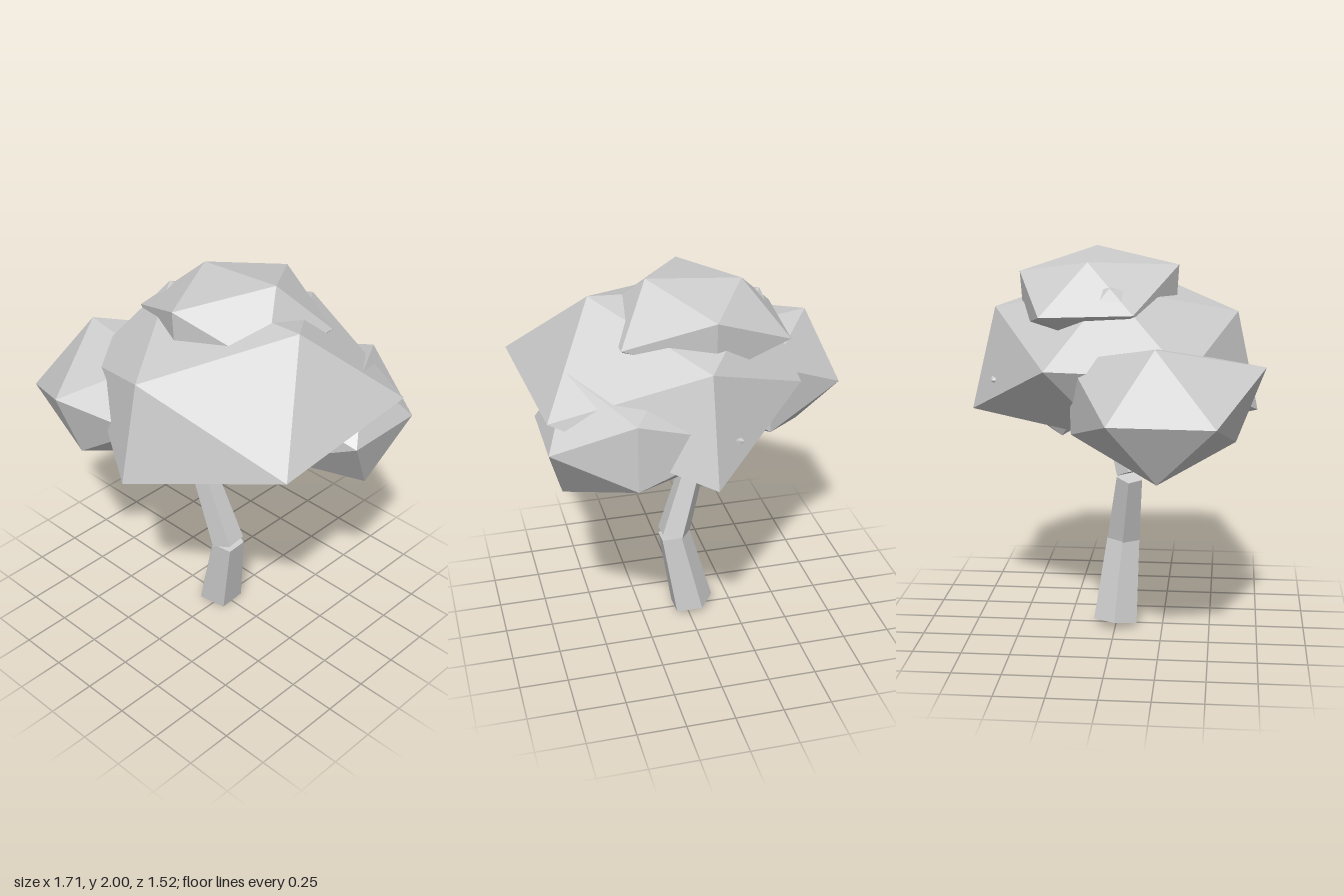
import * as THREE from 'three';

// Faces of a twenty-sided clump; corner order is given at each clump below
const CLUMP_FACES = [
  0, 11, 5, 0, 5, 1, 0, 1, 7, 0, 7, 10, 0, 10, 11,
  1, 5, 9, 5, 11, 4, 11, 10, 2, 10, 7, 6, 7, 1, 8,
  3, 9, 4, 3, 4, 2, 3, 2, 6, 3, 6, 8, 3, 8, 9,
  4, 9, 5, 2, 4, 11, 6, 2, 10, 8, 6, 7, 9, 8, 1,
];

// Corners: top left, top right, bottom left, bottom right,
// front low, front high, back low, back high,
// right back, right front, left back, left front (as drawn, left = -x)
const CLUMPS = {
  mainFoliage: [
    [-0.38, 1.85, 0], [0.49, 1.89, 0], [-0.36, 1.1, 0], [0.45, 1.08, 0],
    [0.03, 1.18, 0.73], [0.03, 1.69, 0.62], [0.03, 1.16, -0.76], [0.03, 1.7, -0.63],
    [0.78, 1.46, -0.46], [0.85, 1.46, 0.47], [-0.51, 1.46, -0.31], [-0.6, 1.46, 0.38],
  ],
  topFoliage: [
    [-0.25, 1.96, -0.12], [0.23, 2.0, -0.12], [-0.25, 1.52, -0.1], [0.22, 1.52, -0.1],
    [-0.03, 1.6, 0.3], [-0.03, 1.93, 0.32], [-0.03, 1.62, -0.47], [-0.03, 1.89, -0.49],
    [0.4, 1.74, -0.35], [0.42, 1.74, 0.15], [-0.44, 1.71, -0.34], [-0.47, 1.73, 0.12],
  ],
  frontSideFoliage: [
    [-0.71, 1.61, 0.24], [-0.25, 1.54, 0.25], [-0.69, 0.96, 0.25], [-0.19, 1.03, 0.25],
    [-0.4, 1.11, 0.62], [-0.4, 1.48, 0.76], [-0.4, 1.13, -0.19], [-0.4, 1.5, -0.2],
    [-0.1, 1.3, 0], [-0.1, 1.3, 0.5], [-0.84, 1.27, 0.02], [-0.86, 1.27, 0.53],
  ],
  backSideFoliage: [
    [0.15, 1.6, -0.3], [0.65, 1.63, -0.29], [0.12, 1.0, -0.3], [0.7, 1.0, -0.3],
    [0.4, 1.17, 0.05], [0.4, 1.5, 0.05], [0.4, 1.17, -0.69], [0.4, 1.51, -0.69],
    [0.79, 1.33, -0.53], [0.79, 1.33, -0.1], [-0.13, 1.34, -0.63], [0, 1.33, -0.1],
  ],
};

// Five-sided tapered log running between two points
function logBetween(from, to, r0, r1) {
  const a = new THREE.Vector3(...from), b = new THREE.Vector3(...to);
  const axis = b.clone().sub(a), length = axis.length();
  const geo = new THREE.CylinderGeometry(r1, r0, length, 5, 1, false, -Math.PI / 2);
  geo.applyQuaternion(new THREE.Quaternion().setFromUnitVectors(
    new THREE.Vector3(0, 1, 0), axis.normalize()));
  const mid = a.add(b).multiplyScalar(0.5);
  return geo.translate(mid.x, mid.y, mid.z);
}

function clump(corners) {
  const geo = new THREE.BufferGeometry();
  geo.setAttribute('position', new THREE.Float32BufferAttribute(
    CLUMP_FACES.flatMap((i) => corners[i]), 3));
  geo.computeVertexNormals();
  return geo;
}

export function createModel() {
  const tree = new THREE.Group();
  tree.name = 'tree';
  const grey = new THREE.MeshStandardMaterial({ color: 0xcccccc, flatShading: true });
  grey.name = 'light grey';

  const add = (name, geo) => {
    const mesh = new THREE.Mesh(geo, grey);
    mesh.name = name;
    tree.add(mesh);
  };

  // Crooked trunk in three pieces
  add('lowerTrunk', logBetween([-0.03, 0.025, 0], [0.06, 0.46, 0.035], 0.12, 0.09));
  add('middleTrunk', logBetween([0.06, 0.46, 0.035], [-0.055, 0.83, 0.075], 0.09, 0.07));
  add('upperTrunk', logBetween([-0.055, 0.85, 0.075], [0.07, 1.25, -0.04], 0.07, 0.055));

  // Overlapping faceted foliage
  for (const [name, corners] of Object.entries(CLUMPS)) add(name, clump(corners));

  return tree;
}
